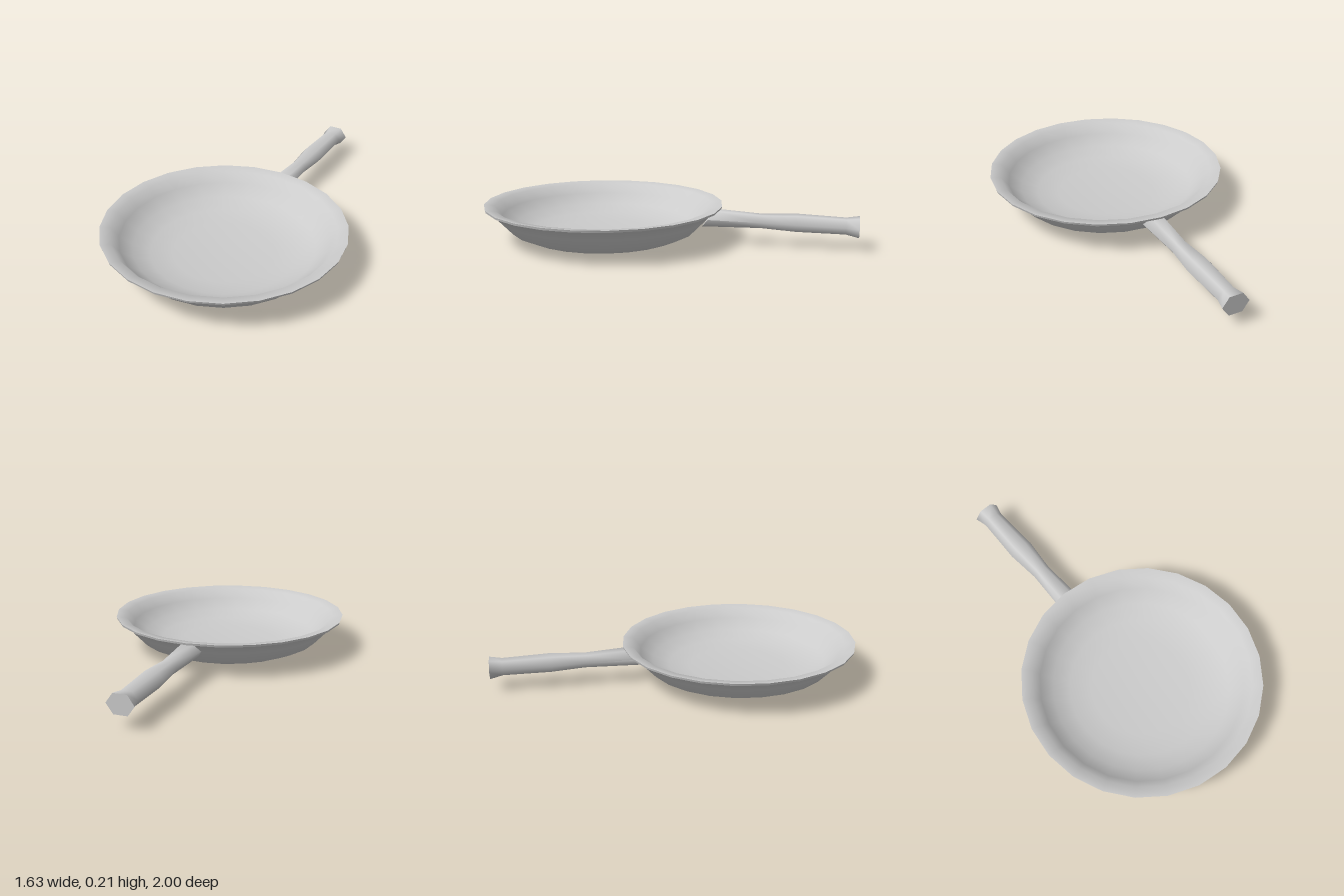
import * as THREE from 'three';
import { toCreasedNormals } from 'three/addons/utils/BufferGeometryUtils.js';

const material = new THREE.MeshStandardMaterial({ color: 0xcccccc });

// Pan body: outer wall up to the rim, then down into a shallow rounded bowl
function createPan() {
  const profile = [
    [0, 0], [0.315, 0.003], [0.457, 0.02], [0.553, 0.062], [0.628, 0.14], [0.672, 0.193],
    [0.708, 0.201], [0.712, 0.214],
    [0.65, 0.206], [0.605, 0.15], [0.53, 0.093], [0.43, 0.057], [0.3, 0.04], [0, 0.035],
  ].map(([r, y]) => new THREE.Vector2(r, y));
  const geometry = new THREE.LatheGeometry(profile, 24, -0.065);
  const mesh = new THREE.Mesh(toCreasedNormals(geometry, 1), material);
  mesh.name = 'pan';
  return mesh;
}

// Handle: hexagonal sections along +z, slanted at the root to follow the wall
function createHandle() {
  const sides = 6;
  const sections = [ // distance, centre height, half width, half height
    [0.6, 0.149, 0.07, 0.047],
    [0.945, 0.142, 0.055, 0.037],
    [1.145, 0.14, 0.074, 0.046],
    [1.428, 0.133, 0.062, 0.043],
    [1.503, 0.13, 0.08, 0.056],
  ];
  const positions = [], index = [];
  sections.forEach(([t, cy, w, h], i) => {
    for (let k = 0; k < sides; k++) {
      const a = (k / sides) * Math.PI * 2;
      const y = cy + (h / 0.866) * Math.sin(a);
      positions.push(w * Math.cos(a), y, i === 0 ? t + 0.75 * (y - 0.1) : t);
    }
  });
  for (let i = 0; i < sections.length - 1; i++) {
    for (let k = 0; k < sides; k++) {
      const a = i * sides + k, b = i * sides + (k + 1) % sides;
      index.push(a, b, b + sides, a, b + sides, a + sides);
    }
  }
  // End caps
  const last = (sections.length - 1) * sides;
  for (let k = 1; k < sides - 1; k++) {
    index.push(0, k + 1, k, last, last + k, last + k + 1);
  }
  const geometry = new THREE.BufferGeometry();
  geometry.setAttribute('position', new THREE.Float32BufferAttribute(positions, 3));
  geometry.setIndex(index);
  const mesh = new THREE.Mesh(toCreasedNormals(geometry, 1.4), material);
  mesh.name = 'handle';
  mesh.rotation.y = Math.atan2(0.565, -0.825);
  return mesh;
}

export function createModel() {
  const group = new THREE.Group();
  group.name = 'fryingPan';
  const body = new THREE.Group();
  body.name = 'panWithHandle';
  body.add(createPan(), createHandle());
  body.position.set(-0.105, 0, 0.287);
  group.add(body);
  return group;
}
